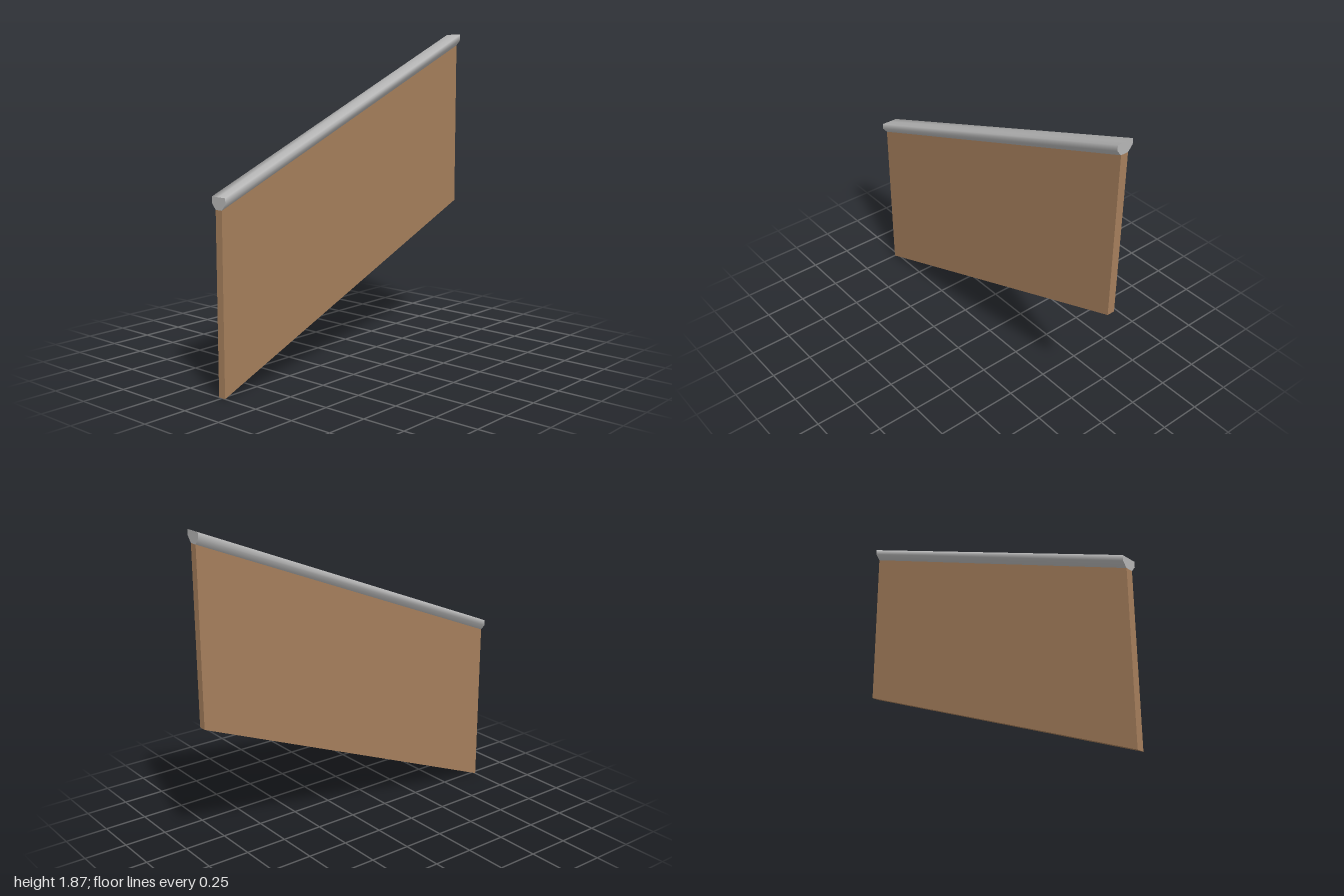
import * as THREE from 'three';

const RISE = 0.815;     // height gained from one end to the other
const PANEL_H = 0.985;  // vertical height of the panel
const climb = (x) => (x + 1) / 2 * RISE;

// Handrail section as [z, y], from the front lower edge over the top to the back
const PROFILE = [[0.023, 0], [0.05, 0.033], [0.05, 0.066], [0, 0.066],
  [-0.05, 0.066], [-0.05, 0.033], [-0.023, 0]];

// Slides vertices up along the slope
function shear(geometry) {
  const p = geometry.attributes.position;
  for (let i = 0; i < p.count; i++) p.setY(i, p.getY(i) + climb(p.getX(i)));
  geometry.computeVertexNormals();
  return geometry;
}

// Rail surface swept along x, smooth across its section
function railSurface() {
  const positions = [], index = [];
  PROFILE.forEach(([z, y], i) => {
    positions.push(-1, PANEL_H + y, z, 1, PANEL_H + y, z);
    if (i < PROFILE.length - 1) {
      const a = i * 2;
      index.push(a, a + 1, a + 3, a, a + 3, a + 2);
    }
  });
  const geometry = new THREE.BufferGeometry();
  geometry.setAttribute('position', new THREE.Float32BufferAttribute(positions, 3));
  geometry.setIndex(index);
  return shear(geometry);
}

export function createModel() {
  const model = new THREE.Group();
  model.name = 'slopedBalustrade';
  const wood = new THREE.MeshStandardMaterial({ color: 0xa67f5c });
  wood.name = 'brown wood';
  const metal = new THREE.MeshStandardMaterial({ color: 0xb6b6b6 });
  metal.name = 'grey metal';

  const add = (name, geometry, material, parent) => {
    const mesh = new THREE.Mesh(geometry, material);
    mesh.name = name;
    parent.add(mesh);
  };

  // Slanted panel with vertical ends
  const panel = new THREE.BoxGeometry(2, PANEL_H, 0.046).translate(0, PANEL_H / 2, 0);
  add('panel', shear(panel), wood, model);

  // Handrail along the top edge, closed by a flat cap at each end
  const handrail = new THREE.Group();
  handrail.name = 'handrail';
  model.add(handrail);
  add('railSurface', railSurface(), metal, handrail);
  const section = new THREE.Shape(PROFILE.map(([z, y]) => new THREE.Vector2(z, y)));
  for (const side of [-1, 1]) {
    const cap = new THREE.ShapeGeometry(section).rotateY(side * Math.PI / 2);
    cap.translate(side, PANEL_H + climb(side), 0);
    add(side < 0 ? 'rightEndCap' : 'leftEndCap', cap, metal, handrail);
  }
  return model;
}
